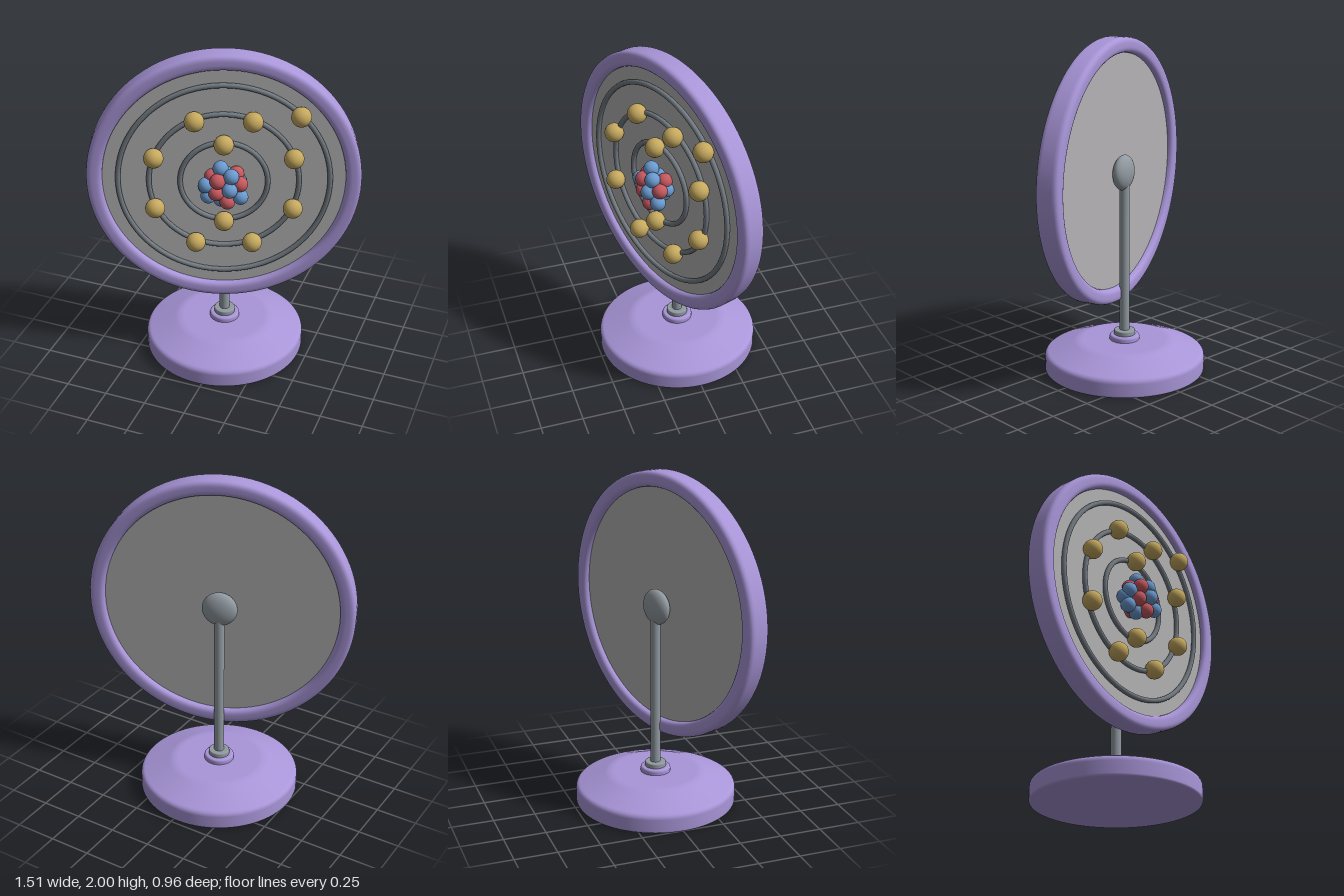
import * as THREE from 'three';

const mat = (name, color, side = THREE.FrontSide) => {
  const m = new THREE.MeshStandardMaterial({ color, side });
  m.name = name;
  return m;
};

// Closed or open profile of revolution with softened corners: each [r, y, bevel]
function softLathe(points, segments, closed = false) {
  const out = [];
  const n = points.length;
  points.forEach(([r, y, b = 0], i) => {
    const p = new THREE.Vector2(r, y);
    if (!b) { out.push(p); return; }
    const toward = (q) => new THREE.Vector2(q[0], q[1]).sub(p).setLength(b).add(p);
    const a = toward(points[(i + n - 1) % n]);
    const c = toward(points[(i + 1) % n]);
    out.push(...new THREE.QuadraticBezierCurve(a, p, c).getPoints(5));
  });
  if (closed) out.push(out[0].clone());
  return new THREE.LatheGeometry(out, segments);
}

export function createModel() {
  const purple = mat('purple', 0xa996d9);
  const panelGrey = mat('panel grey', 0xb4b2b4);
  const steel = mat('steel', 0x929ba2);
  const ringGrey = mat('ring grey', 0x737b82);
  const gold = mat('gold', 0xc6a95f);
  const red = mat('red', 0xc6595f);
  const blue = mat('blue', 0x6a9ad0);

  const model = new THREE.Group();
  model.name = 'atomModel';
  const add = (parent, name, geo, material, x = 0, y = 0, z = 0) => {
    const mesh = new THREE.Mesh(geo, material);
    mesh.name = name;
    mesh.position.set(x, y, z);
    parent.add(mesh);
    return mesh;
  };

  // Stand: base, boss, collar and pole
  const stand = new THREE.Group();
  stand.name = 'stand';
  stand.position.x = -0.03;
  model.add(stand);
  add(stand, 'base', softLathe([
    [0, 0], [0.482, 0, 0.015], [0.482, 0.11, 0.025], [0.28, 0.185, 0.03], [0, 0.185],
  ], 72), purple);
  add(stand, 'boss', softLathe([
    [0.09, 0.18], [0.09, 0.217, 0.015], [0, 0.217],
  ], 40), purple);
  add(stand, 'collar', softLathe([
    [0.063, 0.21], [0.063, 0.246, 0.008], [0, 0.246],
  ], 40), steel);
  add(stand, 'pole', new THREE.CylinderGeometry(0.03, 0.03, 0.99, 28), steel, 0, 0.715, 0);

  // Turned display disc
  const disc = new THREE.Group();
  disc.name = 'disc';
  disc.position.set(-0.004, 1.215, 0.074);
  disc.rotation.y = THREE.MathUtils.degToRad(20);
  model.add(disc);
  add(disc, 'rim', softLathe([
    [0.695, -0.07, 0.035], [0.786, -0.07, 0.035], [0.786, 0.07, 0.035], [0.695, 0.07, 0.035],
  ], 96, true), purple).rotation.x = Math.PI / 2;
  add(disc, 'panel', new THREE.CylinderGeometry(0.71, 0.71, 0.07, 96), panelGrey)
    .rotation.x = Math.PI / 2;
  add(disc, 'hub', new THREE.SphereGeometry(0.105, 32, 20), steel, 0, 0, -0.072)
    .scale.z = 0.48;

  // Orbit rings with their electrons: radius, count, first angle in degrees
  const ball = new THREE.SphereGeometry(0.057, 28, 18);
  [[0.25, 2, 90], [0.428, 8, 22.5], [0.605, 1, 45]].forEach(([r, count, start]) => {
    add(disc, 'orbitRing', new THREE.TorusGeometry(r, 0.015, 12, 96), ringGrey, 0, 0, 0.048);
    for (let i = 0; i < count; i++) {
      const a = THREE.MathUtils.degToRad(start + (i * 360) / count);
      add(disc, 'electron', ball, gold, r * Math.cos(a), r * Math.sin(a), 0.077);
    }
  });

  // Nucleus: clustered protons and neutrons
  const nucleus = new THREE.Group();
  nucleus.name = 'nucleus';
  model.add(nucleus);
  const nucleon = new THREE.SphereGeometry(0.045, 24, 16);
  const cluster = (name, material, spots) =>
    spots.forEach(([x, y, z]) => add(nucleus, name, nucleon, material, x, y, z));
  cluster('proton', red, [
    [-0.04, 1.265, 0.17], [0.01, 1.265, 0.215], [0.122, 1.235, 0.15], [0.0, 1.185, 0.21],
    [0.06, 1.13, 0.19], [0.085, 1.275, 0.11], [-0.01, 1.14, 0.13], [0.03, 1.22, 0.165],
    [-0.04, 1.21, 0.14],
  ]);
  cluster('neutron', blue, [
    [0.01, 1.323, 0.165], [0.08, 1.29, 0.18], [-0.063, 1.225, 0.21], [0.08, 1.215, 0.205],
    [-0.078, 1.195, 0.175], [0.13, 1.162, 0.165], [-0.058, 1.142, 0.185], [0.01, 1.122, 0.16],
    [0.1, 1.225, 0.105], [0.05, 1.17, 0.11], [0.02, 1.27, 0.12],
  ]);

  return model;
}
